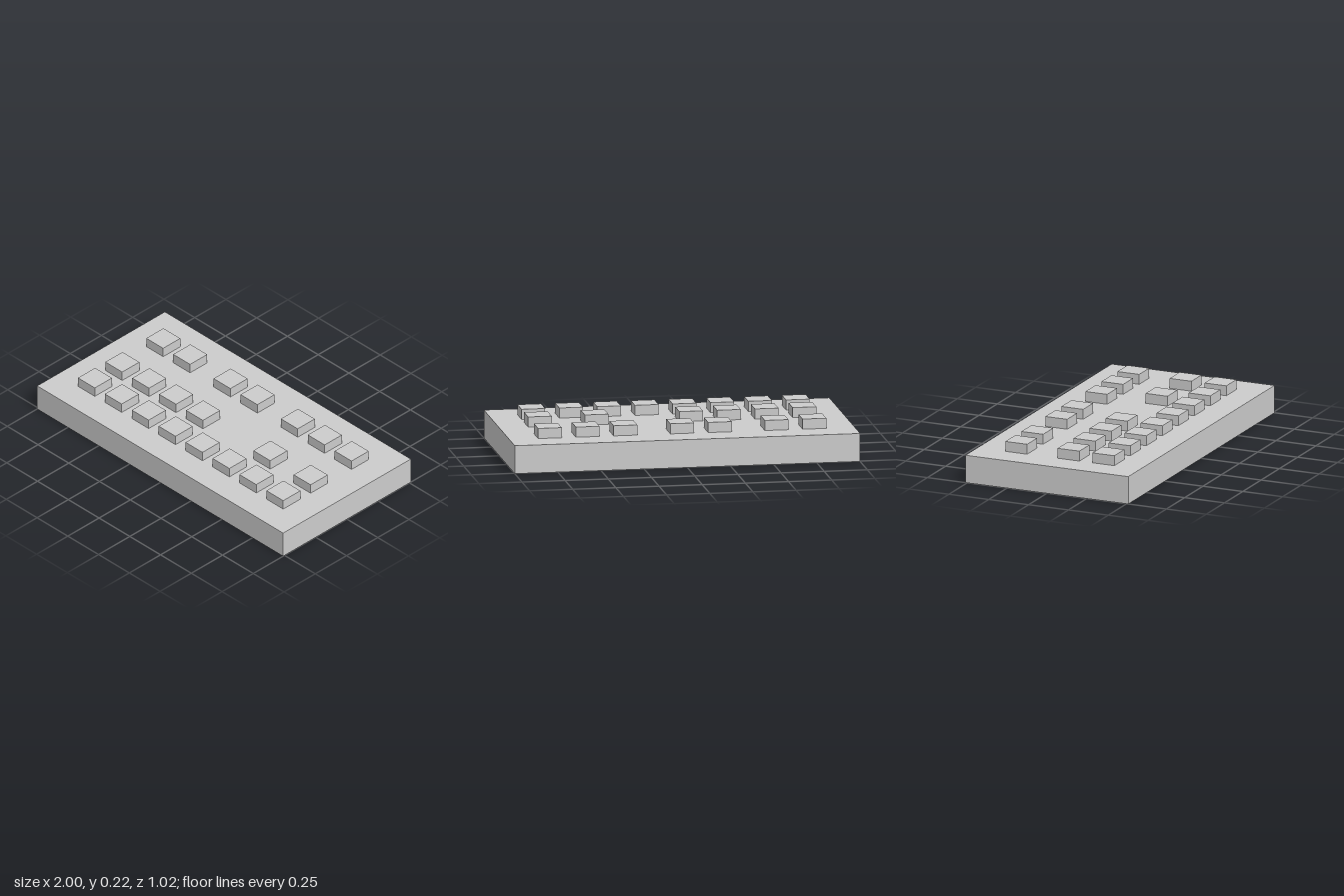
import * as THREE from 'three';

export function createModel() {
  const model = new THREE.Group();
  const material = new THREE.MeshStandardMaterial({ color: 0xcccccc, flatShading: true });

  const baseHeight = 0.163, keyHeight = 0.059, keySize = 0.137;
  const pitch = 0.2188; // spacing between neighbouring keys

  // Flat slab
  const base = new THREE.Mesh(new THREE.BoxGeometry(2, baseHeight, 1.022), material);
  base.name = 'base';
  base.position.y = baseHeight / 2;
  model.add(base);

  // Rows of square keys; columns are in pitches from the centre
  const rows = [
    { name: 'backRow', z: -0.268, columns: [-3.5, -2.5, -1, 0, 1.5, 2.5, 3.5] },
    { name: 'middleRow', z: 0.06, columns: [-3.5, -2.5, -1.5, -0.5, 2, 3.5] },
    { name: 'frontRow', z: 0.279, columns: [-3.5, -2.5, -1.5, -0.5, 0.5, 1.5, 2.5, 3.5] },
  ];
  const keyGeometry = new THREE.BoxGeometry(keySize, keyHeight, keySize);
  for (const { name, z, columns } of rows) {
    const row = new THREE.Group();
    row.name = name;
    row.position.set(0, baseHeight + keyHeight / 2, z);
    for (const column of columns) {
      const key = new THREE.Mesh(keyGeometry, material);
      key.name = 'key';
      key.position.x = column * pitch;
      row.add(key);
    }
    model.add(row);
  }
  return model;
}
